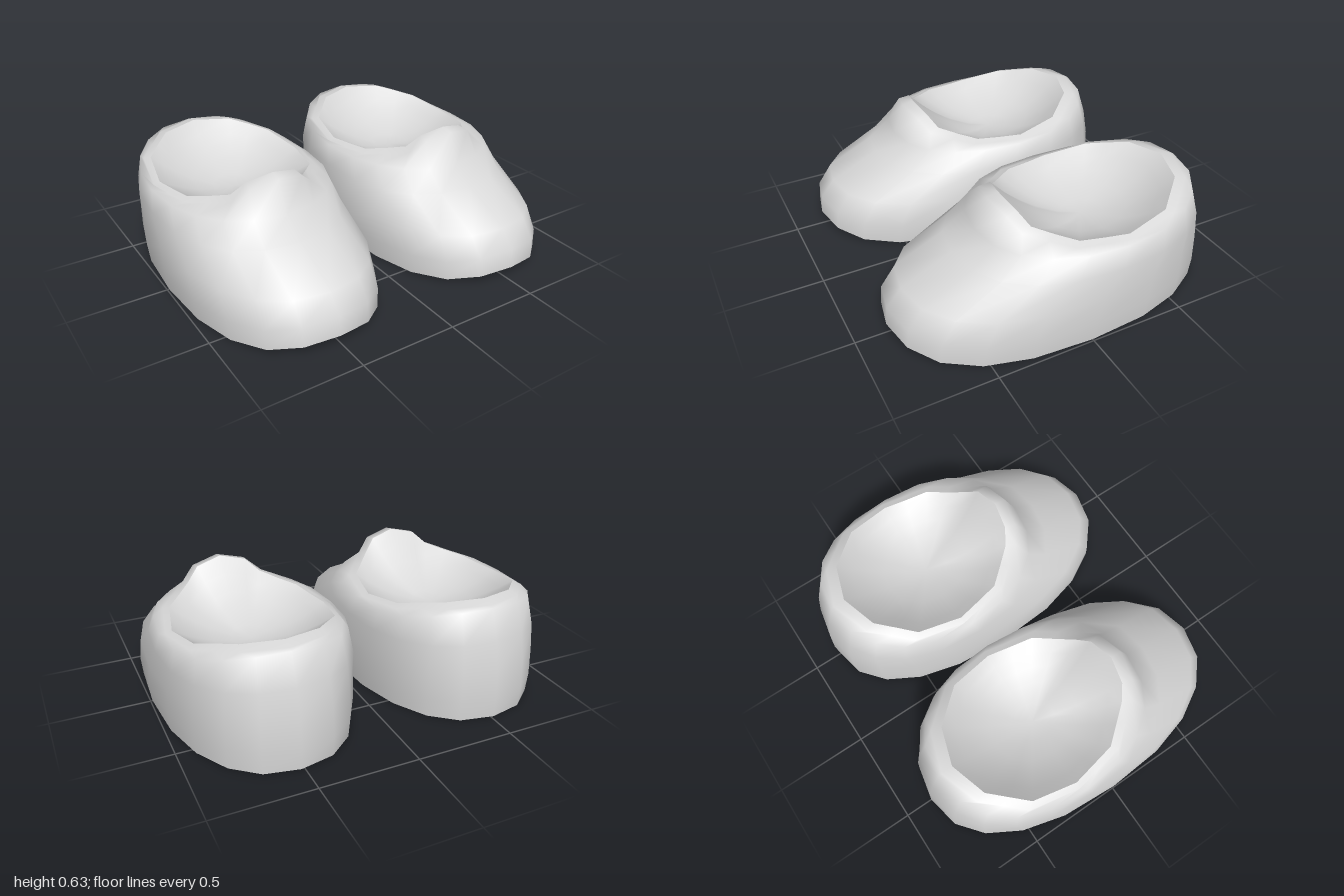
import * as THREE from 'three';
import { toCreasedNormals } from 'three/addons/utils/BufferGeometryUtils.js';

const SIDES = 20;
const MID_Z = -0.21;

// One closed ring: [back z, back y], [half width, side y], [front z, front y]
function ring([zb, yb], [hw, ys], [zf, yf]) {
  const points = [];
  const soft = (v) => Math.sign(v) * Math.abs(v) ** 0.87;
  for (let i = 0; i < SIDES; i++) {
    const a = (i / SIDES) * Math.PI * 2;
    const c = Math.cos(a);
    const y = c > 0 ? ys + (yb - ys) * c ** 2 : ys + (yf - ys) * c ** 6;
    points.push([hw * soft(Math.sin(a)), y, (zb + zf) / 2 - ((zf - zb) / 2) * soft(c)]);
  }
  return points;
}

// A ring with all its points in one place, closing a skin
function pole(y, z) {
  const points = Array.from({ length: SIDES }, () => [0, y, z]);
  points.pole = true;
  return points;
}

// Skin through a list of rings
function loft(rings, crease) {
  const index = [];
  for (let r = 0; r < rings.length - 1; r++) {
    for (let i = 0; i < SIDES; i++) {
      const a = r * SIDES + i, b = r * SIDES + ((i + 1) % SIDES);
      const c = a + SIDES, d = b + SIDES;
      if (!rings[r].pole) index.push(a, c, b);
      if (!rings[r + 1].pole) index.push(b, c, d);
    }
  }
  const g = new THREE.BufferGeometry();
  g.setAttribute('position', new THREE.Float32BufferAttribute(rings.flat(2), 3));
  g.setIndex(index);
  return toCreasedNormals(g, crease);
}

export function createModel() {
  const felt = new THREE.MeshStandardMaterial({ color: 0xd8d8d8 });
  felt.name = 'grey felt';
  felt.side = THREE.DoubleSide;

  // Rim of the opening: one half from heel to tongue, then mirrored
  const half = [
    [0, 0.575, -0.68], [0.19, 0.562, -0.62], [0.268, 0.542, -0.535], [0.345, 0.518, -0.45],
    [0.388, 0.485, -0.22], [0.364, 0.488, -0.1], [0.34, 0.495, 0.02], [0.268, 0.513, 0.105],
    [0.195, 0.537, 0.19], [0.13, 0.6, 0.23], [0, 0.63, 0.255],
  ];
  const rim = [...half, ...half.slice(1, -1).reverse().map(([x, y, z]) => [-x, y, z])];

  // Outer skin, from the sole edge up to the rim
  const outer = [
    ring([-0.845, 0], [0.475, 0], [0.845, 0.065]),
    ring([-0.85, 0.1], [0.485, 0.1], [0.835, 0.16]),
    ring([-0.84, 0.25], [0.48, 0.23], [0.76, 0.25]),
    ring([-0.81, 0.4], [0.465, 0.36], [0.5, 0.37]),
    ring([-0.76, 0.555], [0.442, 0.465], [0.38, 0.46]),
    rim.map(([x, y, z]) => [x * 1.08, y - 0.012, MID_Z + (z - MID_Z) * 1.13]),
    rim,
  ];

  // Shallow hollow for the foot
  const floorY = 0.36;
  const hollow = [1, 0.85, 0.68, 0.5, 0.25].map((s) =>
    rim.map(([x, y, z]) => [x * s, floorY + (y - floorY) * s * s, MID_Z + (z - MID_Z) * s]));
  hollow.push(pole(floorY, MID_Z));

  // Underside, turned up at the toe
  const underside = [pole(0, 0), ring([-0.5, 0], [0.33, 0], [0.5, 0]), outer[0]];

  const parts = {
    upper: loft(outer, Math.PI),
    lining: loft(hollow, Math.PI),
    sole: loft(underside, 0.6),
  };

  const model = new THREE.Group();
  model.name = 'slippers';
  for (const side of [-1, 1]) {
    const slipper = new THREE.Group();
    slipper.name = side > 0 ? 'leftSlipper' : 'rightSlipper';
    for (const [name, geometry] of Object.entries(parts)) {
      const mesh = new THREE.Mesh(geometry, felt);
      mesh.name = name;
      slipper.add(mesh);
    }
    slipper.position.x = side * 0.515;
    model.add(slipper);
  }
  return model;
}
